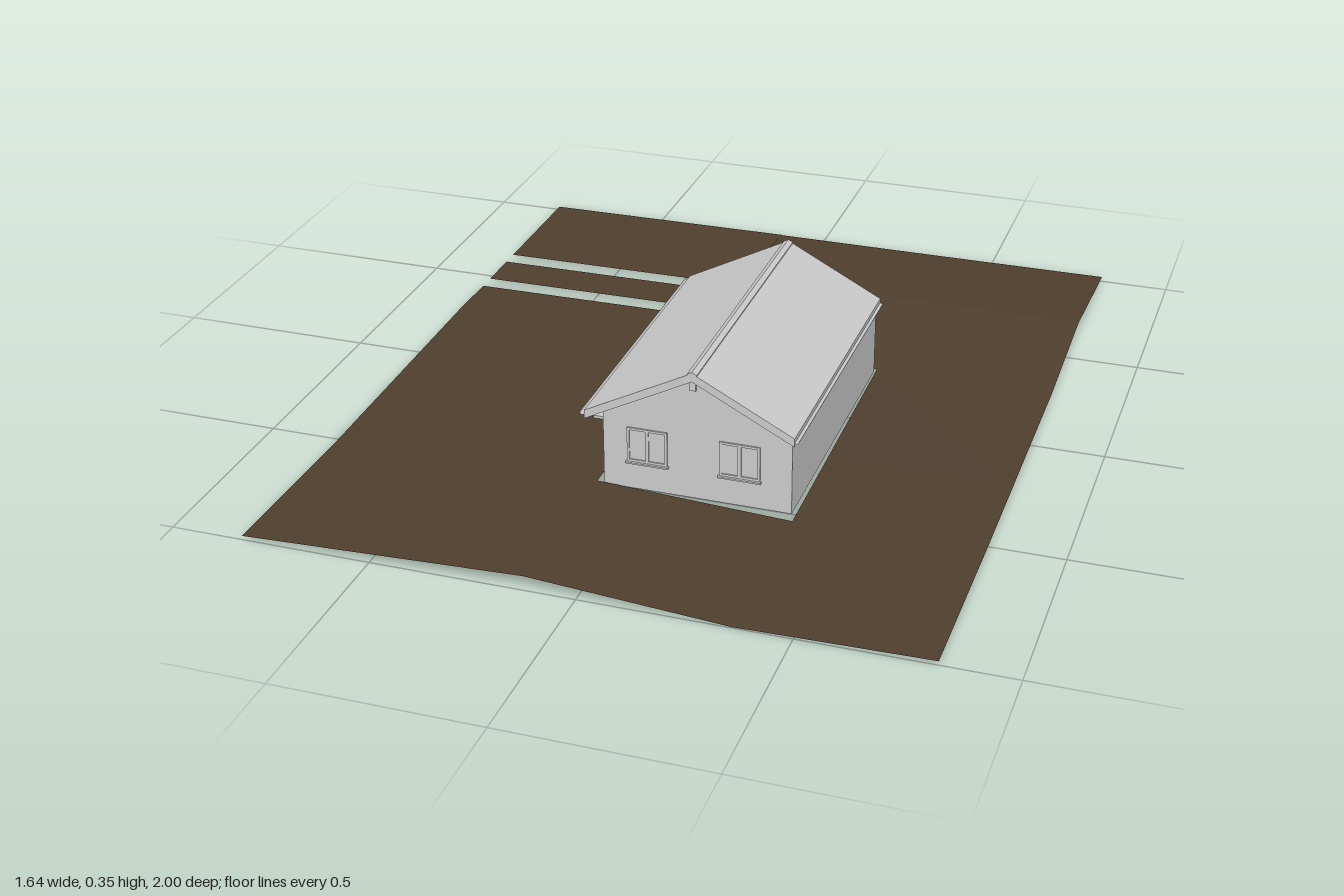
import * as THREE from 'three';

const grey = new THREE.MeshStandardMaterial({ color: 0xcccccc });
const thin = new THREE.MeshStandardMaterial({ color: 0xcccccc, side: THREE.DoubleSide });
const earth = new THREE.MeshStandardMaterial({ color: 0x503f2e, side: THREE.DoubleSide, flatShading: true });

// House extents
const X0 = -0.11, X1 = 0.355, Z0 = -0.24, Z1 = 0.52, RIDGE = 0.115, BASE = 0.02;
const PORCH_X = 0.02, PORCH_Z = 0.24, CEIL = 0.2;
const roofY = (x) => 0.352 - Math.abs(x - RIDGE) * 0.52;
const underRoof = (x) => roofY(x) - 0.016;

function add(parent, name, geometry, material = grey) {
  const mesh = new THREE.Mesh(geometry, material);
  mesh.name = name;
  parent.add(mesh);
  return mesh;
}

// Box given by its limits on each axis
function box(parent, name, x0, x1, y0, y1, z0, z1) {
  const g = new THREE.BoxGeometry(x1 - x0, y1 - y0, z1 - z0);
  g.translate((x0 + x1) / 2, (y0 + y1) / 2, (z0 + z1) / 2);
  return add(parent, name, g);
}

// Outline in x/y, extruded from z0 to z1
function prism(parent, name, points, z0, z1) {
  const shape = new THREE.Shape(points.map(([x, y]) => new THREE.Vector2(x, y)));
  const g = new THREE.ExtrudeGeometry(shape, { depth: z1 - z0, bevelEnabled: false });
  g.translate(0, 0, z0);
  return add(parent, name, g);
}

// Framed opening facing +z locally, with its bottom centre at the origin
function windowUnit(parent, name, w, h, x, y, z, turn = 0, sill = true) {
  const g = new THREE.Group();
  g.name = name;
  const f = 0.006, d = 0.004;
  box(g, 'pane', -w / 2 + f, w / 2 - f, f, h - f, -0.002, 0.001);
  for (const s of [-1, 1]) {
    const c = s * (w - f) / 2;
    box(g, 'frameSide', c - f / 2, c + f / 2, 0, h, -0.002, d);
  }
  box(g, 'frameBottom', -w / 2, w / 2, 0, f, -0.002, d);
  box(g, 'frameTop', -w / 2, w / 2, h - f, h, -0.002, d);
  box(g, 'mullion', -0.004, 0.004, f, h - f, -0.002, d);
  if (sill) box(g, 'sill', -w / 2 - 0.003, w / 2 + 0.003, -0.004, 0, -0.002, 0.01);
  g.position.set(x, y, z);
  g.rotation.y = turn;
  parent.add(g);
}

// Sloping plot: heights on a coarse grid, interpolated between its lines
const KX = [-0.82, -0.124, 0.36, 0.82];
const KZ = [-1, -0.62, -0.25, 0.53, 1];
const HEIGHT = [
  [0.012, 0.015, 0.015, 0.016],
  [0.014, 0.05, 0.05, 0.05],
  [0.015, 0.018, 0.018, 0.02],
  [0.004, 0.026, 0.003, 0.01],
  [0.013, 0.04, 0.005, 0.013],
];
function span(keys, v) {
  let i = 0;
  while (i < keys.length - 2 && v > keys[i + 1]) i++;
  return [i, (v - keys[i]) / (keys[i + 1] - keys[i])];
}
function groundY(x, z, west) {
  if (west && z < -0.25) return 0.012 + 0.004 * (x + 0.82) / 0.7; // level drive side
  const [i, u] = span(KX, x), [j, v] = span(KZ, z);
  const row = (r) => HEIGHT[r][i] * (1 - u) + HEIGHT[r][i + 1] * u;
  return row(j) * (1 - v) + row(j + 1) * v;
}
function buildGround(parent) {
  const xs = [-0.82, -0.25, -0.124, 0.36, 0.82];
  const zs = [-1, -0.635, -0.62, -0.585, -0.465, -0.415, -0.25, 0.23, 0.53, 1];
  const pos = [];
  for (let i = 0; i < xs.length - 1; i++) {
    for (let j = 0; j < zs.length - 1; j++) {
      const west = i < 2, a = zs[j], b = zs[j + 1];
      const mid = (a + b) / 2;
      const rut = west && ((mid > -0.635 && mid < -0.585) || (mid > -0.465 && mid < -0.415));
      const house = i === 2 && mid > -0.25 && mid < 0.53;
      const deck = i === 1 && mid > -0.25 && mid < 0.23;
      if (rut || house || deck) continue;
      const p = (x, z) => [x, groundY(x, z, west), z];
      const [A, B, C, D] = [p(xs[i], a), p(xs[i], b), p(xs[i + 1], b), p(xs[i + 1], a)];
      pos.push(...A, ...B, ...C, ...A, ...C, ...D);
    }
  }
  const g = new THREE.BufferGeometry();
  g.setAttribute('position', new THREE.Float32BufferAttribute(pos, 3));
  g.computeVertexNormals();
  add(parent, 'ground', g, earth);
}

function buildWalls(parent) {
  const t = 0.014;
  const top = [[X1, underRoof(X1)], [RIDGE, underRoof(RIDGE)], [X0, underRoof(X0)]];
  box(parent, 'floorSlab', X0, X1, BASE - 0.004, BASE + 0.003, Z0, Z1);
  prism(parent, 'frontGable', [[X0, BASE], [X1, BASE], ...top], Z1 - t, Z1);
  prism(parent, 'backGable', [[PORCH_X, BASE], [X1, BASE], ...top, [X0, CEIL], [PORCH_X, CEIL]], Z0, Z0 + t);
  box(parent, 'eastWall', X1 - t, X1, BASE, underRoof(X1), Z0 + t, Z1 - t);
  box(parent, 'westWall', X0, X0 + t, BASE, underRoof(X0), PORCH_Z, Z1 - t);
  // Recessed corner porch
  box(parent, 'porchInnerWall', PORCH_X, PORCH_X + t, BASE, CEIL, Z0 + t, PORCH_Z + t);
  box(parent, 'porchEndWall', X0 + t, PORCH_X, BASE, CEIL, PORCH_Z, PORCH_Z + t);
  box(parent, 'porchCeiling', X0, PORCH_X + t, CEIL, CEIL + 0.004, Z0 + t, PORCH_Z);
  box(parent, 'porchBeam', X0, X0 + t, CEIL, underRoof(X0), Z0 + t, PORCH_Z);
}

function buildOpenings(parent) {
  windowUnit(parent, 'frontWindow', 0.1, 0.09, 0, 0.09, Z1);
  windowUnit(parent, 'frontWindow', 0.1, 0.09, 0.228, 0.09, Z1);
  windowUnit(parent, 'backWindow', 0.09, 0.1, 0.225, 0.09, Z0, Math.PI);
  windowUnit(parent, 'westWindow', 0.09, 0.075, X0, 0.108, 0.39, -Math.PI / 2, false);
  windowUnit(parent, 'porchWindow', 0.1, 0.09, PORCH_X, 0.09, -0.12, -Math.PI / 2);
  windowUnit(parent, 'porchDoor', 0.1, 0.15, PORCH_X, 0.024, 0.14, -Math.PI / 2, false);
}

function buildRoof(parent) {
  const xl = -0.153, xr = 0.363, za = -0.25, zb = 0.532;
  const chevron = (l, r, hi, lo) => [
    [l, roofY(l) - lo], [RIDGE, roofY(RIDGE) - lo], [r, roofY(r) - lo],
    [r, roofY(r) - hi], [RIDGE, roofY(RIDGE) - hi], [l, roofY(l) - hi],
  ];
  prism(parent, 'roof', chevron(xl, xr, 0, 0.016), za, zb);
  prism(parent, 'ridgeCap', chevron(RIDGE - 0.012, RIDGE + 0.012, -0.003, 0.002), za, zb);
  // Verge boards along both gables
  for (const z of [za, zb - 0.004]) {
    prism(parent, 'vergeBoard', chevron(xl, xr, 0.002, 0.022), z, z + 0.004);
  }
  box(parent, 'ridgeBeam', RIDGE - 0.008, RIDGE + 0.008, 0.305, 0.332, za + 0.004, zb - 0.004);
  // Open half-round gutters
  for (const [x, s] of [[xl, -1], [xr, 1]]) {
    const g = new THREE.CylinderGeometry(0.007, 0.007, zb - za, 8, 1, true, -Math.PI / 2, Math.PI);
    g.rotateX(Math.PI / 2);
    g.rotateZ(0);
    add(parent, 'gutter', g, thin).position.set(x + s * 0.004, roofY(x) - 0.006, (za + zb) / 2);
  }
}

function buildPorch(parent) {
  const y = BASE + 0.003;
  box(parent, 'terrace', -0.247, X0, 0.016, 0.028, -0.27, 0.23);
  box(parent, 'terraceStep', X0, -0.1, 0.016, 0.026, -0.27, Z0);
  for (const z of [Z0, 0.06, PORCH_Z - 0.012]) {
    box(parent, 'porchPost', X0, X0 + 0.012, y, CEIL, z, z + 0.012);
  }
  // Solid side parapet and open end railing
  box(parent, 'parapet', X0, X0 + 0.008, y, 0.105, Z0 + 0.012, 0.06);
  box(parent, 'endRail', X0 + 0.012, PORCH_X, 0.1, 0.106, Z0, Z0 + 0.008);
  for (let i = 1; i < 8; i++) {
    const x = X0 + 0.01 + i * 0.015;
    box(parent, 'baluster', x, x + 0.003, y, 0.1, Z0 + 0.002, Z0 + 0.005);
  }
  // Garden table with two chairs
  box(parent, 'tableTop', -0.07, -0.01, 0.066, 0.07, -0.16, -0.07);
  for (const x of [-0.066, -0.018]) for (const z of [-0.155, -0.079]) {
    box(parent, 'tableLeg', x, x + 0.004, y, 0.066, z, z + 0.004);
  }
  for (const [z, back] of [[-0.205, -0.205], [-0.055, -0.029]]) {
    box(parent, 'chairSeat', -0.055, -0.025, 0.046, 0.05, z, z + 0.03);
    box(parent, 'chairBack', -0.055, -0.025, 0.05, 0.09, back, back + 0.004);
    for (const x of [-0.055, -0.028]) for (const d of [0, 0.027]) {
      box(parent, 'chairLeg', x, x + 0.003, y, 0.046, z + d, z + d + 0.003);
    }
  }
}

export function createModel() {
  const model = new THREE.Group();
  model.name = 'houseOnPlot';
  const parts = { ground: buildGround, walls: buildWalls, openings: buildOpenings, roof: buildRoof, porch: buildPorch };
  for (const [name, build] of Object.entries(parts)) {
    const group = new THREE.Group();
    group.name = name;
    build(group);
    model.add(group);
  }
  return model;
}
